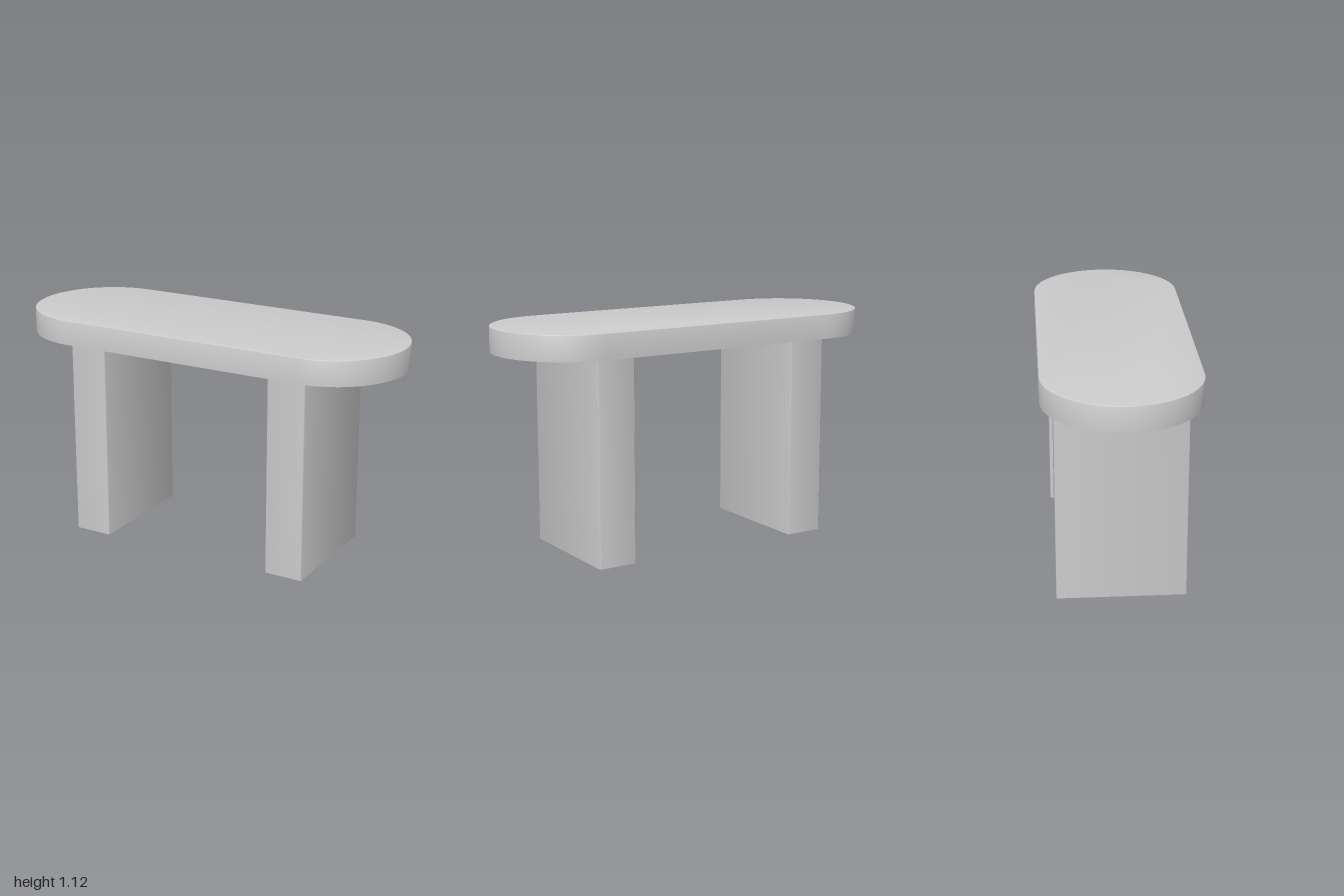
import * as THREE from 'three';
import { toCreasedNormals } from 'three/addons/utils/BufferGeometryUtils.js';

const material = new THREE.MeshStandardMaterial({ color: 0xcccccc });

// Rectangle with rounded corners, centred on the origin
function roundedRect(w, d, r) {
  const x = w / 2 - r, y = d / 2 - r;
  const shape = new THREE.Shape();
  shape.absarc(x, y, r, 0, Math.PI / 2);
  shape.absarc(-x, y, r, Math.PI / 2, Math.PI);
  shape.absarc(-x, -y, r, Math.PI, Math.PI * 1.5);
  shape.absarc(x, -y, r, Math.PI * 1.5, Math.PI * 2);
  shape.closePath();
  return shape;
}

// Upright slab from y = 0; only its upper rim is eased
function slab(shape, height, ease, curveSegments) {
  const geo = new THREE.ExtrudeGeometry(shape, {
    depth: height - ease, curveSegments,
    bevelEnabled: ease > 0, bevelThickness: ease, bevelSize: ease,
    bevelOffset: -ease, bevelSegments: 2,
  });
  // Flatten the lower bevel into a sharp bottom edge
  const p = geo.attributes.position;
  for (let i = 0; i < p.count; i++) p.setZ(i, Math.max(0, p.getZ(i)));
  geo.rotateX(-Math.PI / 2);
  return toCreasedNormals(geo, 0.6);
}

export function createModel() {
  const model = new THREE.Group();
  model.name = 'bench';

  // Stadium-shaped top
  const top = new THREE.Mesh(slab(roundedRect(2, 0.746, 0.372), 0.123, 0.005, 32), material);
  top.name = 'seatTop';
  top.position.y = 1;
  model.add(top);

  // Two slab legs with softened upright edges
  const legGeometry = slab(roundedRect(0.195, 0.622, 0.006), 1, 0, 4);
  for (const side of [1, -1]) {
    const leg = new THREE.Mesh(legGeometry, material);
    leg.name = side > 0 ? 'leftLeg' : 'rightLeg';
    leg.position.x = side * 0.549;
    model.add(leg);
  }
  return model;
}
